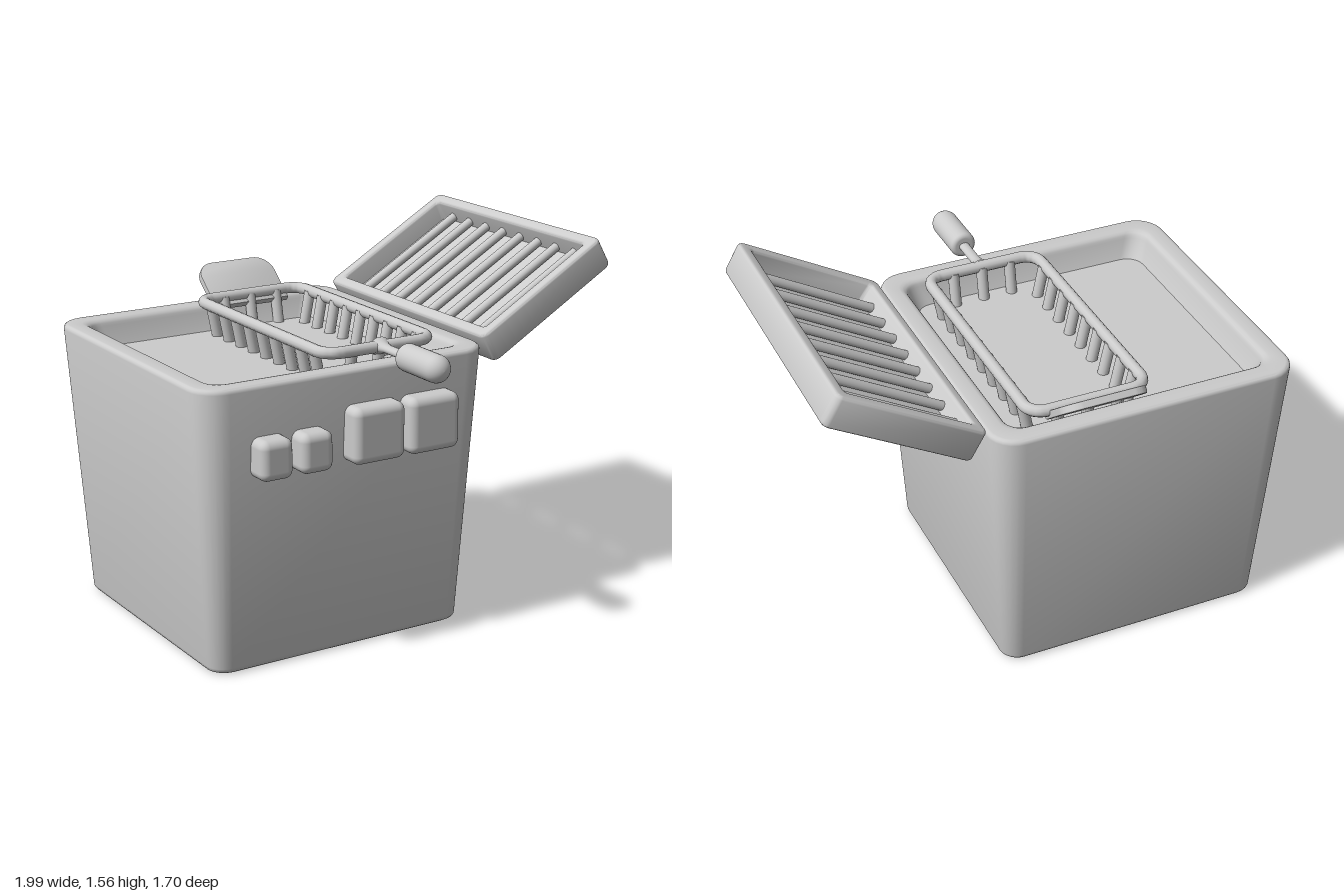
import * as THREE from 'three';
import { toCreasedNormals } from 'three/addons/utils/BufferGeometryUtils.js';
import { RoundedBoxGeometry } from 'three/addons/geometries/RoundedBoxGeometry.js';

const material = new THREE.MeshStandardMaterial({ color: 0xcccccc });

function add(parent, name, geometry, x = 0, y = 0, z = 0) {
  const mesh = new THREE.Mesh(geometry, material);
  mesh.name = name;
  mesh.position.set(x, y, z);
  parent.add(mesh);
  return mesh;
}

// Rounded rectangle in the xz plane
function ring(hx, hz, r, y, seg = 6) {
  const points = [];
  [[1, 1], [-1, 1], [-1, -1], [1, -1]].forEach(([sx, sz], q) => {
    for (let i = 0; i <= seg; i++) {
      const a = (q + i / seg) * Math.PI / 2;
      points.push(new THREE.Vector3(sx * (hx - r) + r * Math.cos(a), y, sz * (hz - r) + r * Math.sin(a)));
    }
  });
  return points;
}

// Quarter-round fillet of a profile, angles in degrees
function arc(u, y, r, from, to, seg = 4) {
  return Array.from({ length: seg + 1 }, (_, i) => {
    const a = THREE.MathUtils.degToRad(from + (to - from) * i / seg);
    return [u + r * Math.cos(a), y + r * Math.sin(a)];
  });
}

// Sweep a [offset, height] profile round a rounded rectangle and close both ends
function tray(hx, hz, corner, minCorner, profile) {
  const loops = profile.map(([u, y]) => ring(hx + u, hz + u, Math.max(corner + u, minCorner), y));
  const n = loops[0].length;
  const pole = y => Array.from({ length: n }, () => new THREE.Vector3(0, y, 0));
  loops.unshift(pole(profile[0][1]));
  loops.push(pole(profile[profile.length - 1][1]));
  const positions = [];
  const face = (...corners) => corners.forEach(p => positions.push(p.x, p.y, p.z));
  for (let j = 0; j < loops.length - 1; j++) {
    for (let i = 0; i < n; i++) {
      const k = (i + 1) % n;
      const [a, b, c, d] = [loops[j][i], loops[j + 1][i], loops[j + 1][k], loops[j][k]];
      if (j > 0) face(a, b, d);
      if (j < loops.length - 2) face(b, c, d);
      else face(a, b, d);
    }
  }
  const geometry = new THREE.BufferGeometry();
  geometry.setAttribute('position', new THREE.Float32BufferAttribute(positions, 3));
  return toCreasedNormals(geometry, 0.6);
}

// Round bar between two points
function bar(parent, name, from, to, radius) {
  const a = new THREE.Vector3(...from), b = new THREE.Vector3(...to);
  const mid = a.clone().lerp(b, 0.5);
  const mesh = add(parent, name, new THREE.CylinderGeometry(radius, radius, a.distanceTo(b), 16), mid.x, mid.y, mid.z);
  mesh.quaternion.setFromUnitVectors(new THREE.Vector3(0, 1, 0), b.sub(a).normalize());
}

export function createModel() {
  const model = new THREE.Group();
  model.name = 'deepFryer';

  // Tapered body with a shallow well
  add(model, 'body', tray(0.665, 0.665, 0.12, 0.075, [
    ...arc(-0.1, 0.025, 0.025, -90, 0),
    ...arc(-0.02, 1.18, 0.02, 0, 90),
    ...arc(-0.07, 1.17, 0.03, 90, 180),
    [-0.135, 1.09],
  ]), -0.335, 0, -0.125);

  // Front buttons: [centre x, width, height, centre y]
  [[-0.712, 0.145, 0.165, 0.907], [-0.532, 0.145, 0.165, 0.907],
    [-0.245, 0.24, 0.235, 0.937], [0.015, 0.24, 0.235, 0.937]].forEach(([x, w, h, y]) =>
    add(model, 'button', new RoundedBoxGeometry(w, h, 0.15, 4, 0.035), x, y, 0.54));

  // Open lid, hinged on the left side
  const lid = new THREE.Group();
  lid.name = 'lid';
  lid.position.set(0.667, 1.333, -0.122);
  lid.rotation.z = Math.PI / 6;
  model.add(lid);
  add(lid, 'lidShell', tray(0.345, 0.598, 0.035, 0.02, [
    ...arc(-0.02, -0.051, 0.02, -90, 0),
    ...arc(-0.015, 0.056, 0.015, 0, 90),
    ...arc(-0.04, 0.056, 0.015, 90, 180),
    [-0.06, -0.02],
  ]));
  for (let i = 0; i < 8; i++) {
    const z = -0.446 + i * 0.128;
    bar(lid, 'lidBar', [-0.29, 0.005, z], [0.29, 0.005, z], 0.02);
  }

  // Frying basket
  const basket = new THREE.Group();
  basket.name = 'basket';
  basket.position.set(-0.113, 1.228, -0.14);
  model.add(basket);
  const rim = new THREE.CurvePath();
  const corners = ring(0.254, 0.536, 0.07, 0);
  corners.forEach((p, i) => rim.add(new THREE.LineCurve3(p, corners[(i + 1) % corners.length])));
  add(basket, 'basketRim', new THREE.TubeGeometry(rim, 240, 0.025, 12, true));
  for (const s of [-1, 1]) {
    for (let i = 0; i < 9; i++) {
      const z = -0.427 + i * 0.107;
      bar(basket, 'basketSideBar', [s * 0.248, 0, z], [s * 0.218, -0.15, z], 0.024);
    }
    for (const x of [-0.13, 0, 0.13]) {
      bar(basket, 'basketEndBar', [x, 0, s * 0.53], [x, -0.15, s * 0.5], 0.024);
    }
  }

  // Basket handle: flared stem and round-ended grip
  const stem = [[0.05, 0], [0.03, 0.03], [0.023, 0.06], [0.023, 0.2]].map(p => new THREE.Vector2(...p));
  add(basket, 'handleStem', new THREE.LatheGeometry(stem, 20), 0, 0, 0.53).rotation.x = Math.PI / 2;
  basket.children.at(-1).scale.z = 0.75;
  const grip = [[0, 0], ...arc(0.037, 0.02, 0.02, -90, 0), ...arc(0, 0.213, 0.057, 0, 90, 8)]
    .map(p => new THREE.Vector2(...p));
  add(basket, 'handleGrip', new THREE.LatheGeometry(grip, 28), 0, 0, 0.718).rotation.x = Math.PI / 2;

  // Slanted tab behind the basket
  const w = 0.178, h = 0.228, r = 0.075;
  const outline = new THREE.Shape();
  outline.moveTo(-w, 0).lineTo(w, 0).lineTo(w, h - r);
  outline.absarc(w - r, h - r, r, 0, Math.PI / 2);
  outline.absarc(r - w, h - r, r, Math.PI / 2, Math.PI);
  const plate = new THREE.ExtrudeGeometry(outline, {
    depth: 0.02, bevelThickness: 0.006, bevelSize: 0.006, bevelSegments: 2, curveSegments: 10,
  }).translate(0, 0, -0.01);
  add(model, 'rearTab', toCreasedNormals(plate, 0.6), -0.113, 1.19, -0.66).rotation.x = -0.88;

  return model;
}
